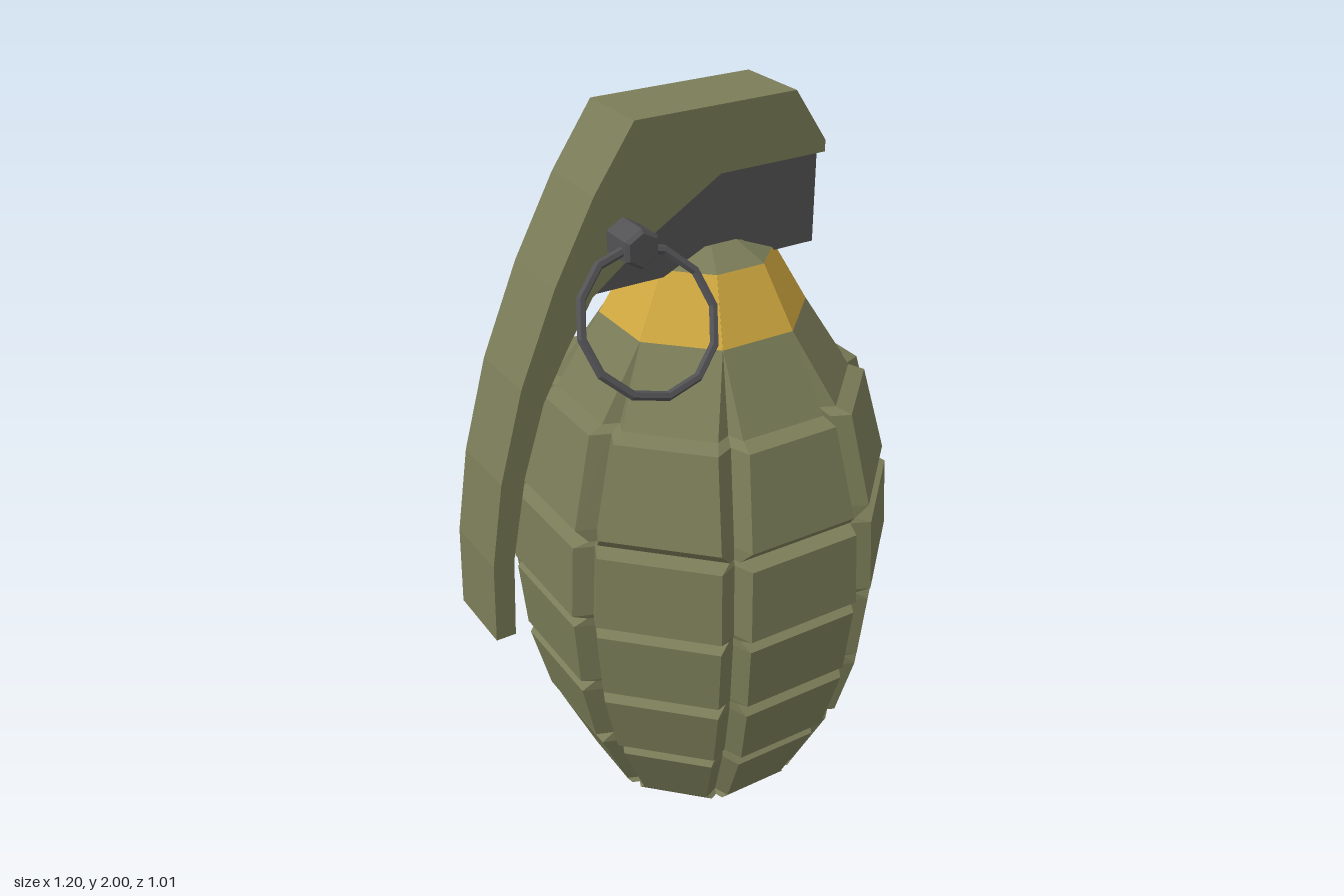
import * as THREE from 'three';

const flat = (name, color) => {
  const m = new THREE.MeshStandardMaterial({ color, flatShading: true });
  m.name = name;
  return m;
};

// Octagonal cross-section; g sets how deep the V groove cuts each corner.
function section([y, a, g]) {
  const w = 0.414 * a - 0.042 * g, r = 1.082 * a - 0.057 * g, pts = [];
  for (let i = 0; i < 8; i++) {
    const t = (i * Math.PI) / 4, s = Math.sin(t), c = Math.cos(t), v = t + Math.PI / 8;
    pts.push([-w * c + a * s, y, w * s + a * c]);
    pts.push([w * c + a * s, y, -w * s + a * c]);
    pts.push([r * Math.sin(v), y, r * Math.cos(v)]);
  }
  return pts;
}

// Skin between stacked sections, with optional end caps.
function stack(rows, capBottom, capTop) {
  const rings = rows.map(section), pos = [];
  const tri = (...p) => p.forEach((q) => pos.push(...q));
  const n = rings[0].length, last = rows.length - 1;
  for (let j = 0; j < n; j++) {
    const k = (j + 1) % n;
    for (let i = 0; i < last; i++) {
      const a = rings[i][j], b = rings[i][k], c = rings[i + 1][k], d = rings[i + 1][j];
      tri(a, b, c);
      tri(a, c, d);
    }
    if (capBottom) tri([0, rows[0][0], 0], rings[0][k], rings[0][j]);
    if (capTop) tri([0, rows[last][0], 0], rings[last][j], rings[last][k]);
  }
  const geo = new THREE.BufferGeometry();
  geo.setAttribute('position', new THREE.Float32BufferAttribute(pos, 3));
  geo.computeVertexNormals();
  return geo;
}

// Side outline extruded evenly about z = 0.
function plate(outline, halfDepth) {
  const shape = new THREE.Shape(outline.map(([x, y]) => new THREE.Vector2(x, y)));
  const geo = new THREE.ExtrudeGeometry(shape, { depth: halfDepth * 2, bevelEnabled: false });
  return geo.translate(0, 0, -halfDepth);
}

export function createModel() {
  const group = new THREE.Group();
  const olive = flat('olive', 0x7a7c58);
  const yellow = flat('yellow', 0xd0a840);
  const grey = flat('dark grey', 0x525254);
  const add = (name, geo, mat, x = 0, y = 0, z = 0) => {
    const mesh = new THREE.Mesh(geo, mat);
    mesh.name = name;
    mesh.position.set(x, y, z);
    group.add(mesh);
    return mesh;
  };
  const cx = 0.095;

  // Segmented body: rows are [height, flat radius, groove]
  add('body', stack([
    [0, 0.3, 0.4], [0.01, 0.308, 0.8],
    [0.22, 0.405, 1], [0.257, 0.37, 0.35],
    [0.27, 0.43, 1], [0.462, 0.478, 1], [0.492, 0.445, 0.35],
    [0.5, 0.482, 1], [0.695, 0.5, 1], [0.718, 0.465, 0.35],
    [0.732, 0.505, 1], [0.94, 0.492, 1], [0.952, 0.45, 0.35],
    [0.988, 0.482, 1], [1.235, 0.418, 1], [1.25, 0.375, 0.8],
    [1.44, 0.253, 0.01],
  ], true, false), olive, cx);

  // Painted neck band and the small dome above it
  add('neckBand', stack([[1.44, 0.253, 0.01], [1.6, 0.168, 0.01]]), yellow, cx);
  add('neckTop', stack([[1.6, 0.168, 0.01], [1.645, 0.09, 0.01]], false, true), olive, cx);

  // Head block under the lever
  add('headBlock', plate([
    [-0.28, 1.59], [-0.08, 1.59], [0.04, 1.645], [0.15, 1.64], [0.225, 1.59],
    [0.37, 1.59], [0.37, 1.84], [0.07, 1.84], [-0.14, 1.71],
  ], 0.09), grey);

  // Curved lever
  add('lever', plate([
    [0.29, 2], [-0.165, 2], [-0.275, 1.84], [-0.386, 1.634], [-0.487, 1.395],
    [-0.556, 1.15], [-0.593, 0.918], [-0.6, 0.69], [-0.545, 0.69], [-0.535, 0.92],
    [-0.492, 1.15], [-0.43, 1.342], [-0.36, 1.47], [-0.286, 1.59], [-0.14, 1.7],
    [0.075, 1.83], [0.385, 1.83], [0.385, 1.86],
  ], 0.104), olive);

  // Hexagonal cross pin with chamfered ends
  const pinProfile = [[0, -0.2], [0.042, -0.2], [0.051, -0.19], [0.051, 0.19], [0.042, 0.2], [0, 0.2]];
  const pin = new THREE.LatheGeometry(pinProfile.map(([r, y]) => new THREE.Vector2(r, y)), 6);
  add('pin', pin.rotateX(Math.PI / 2), grey, -0.2, 1.725, 0);

  // Pull ring hanging from the pin
  const ring = add('pullRing', new THREE.TorusGeometry(0.178, 0.012, 6, 12), grey, -0.222, 1.572, 0.258);
  ring.rotation.x = -0.51;

  return group;
}
